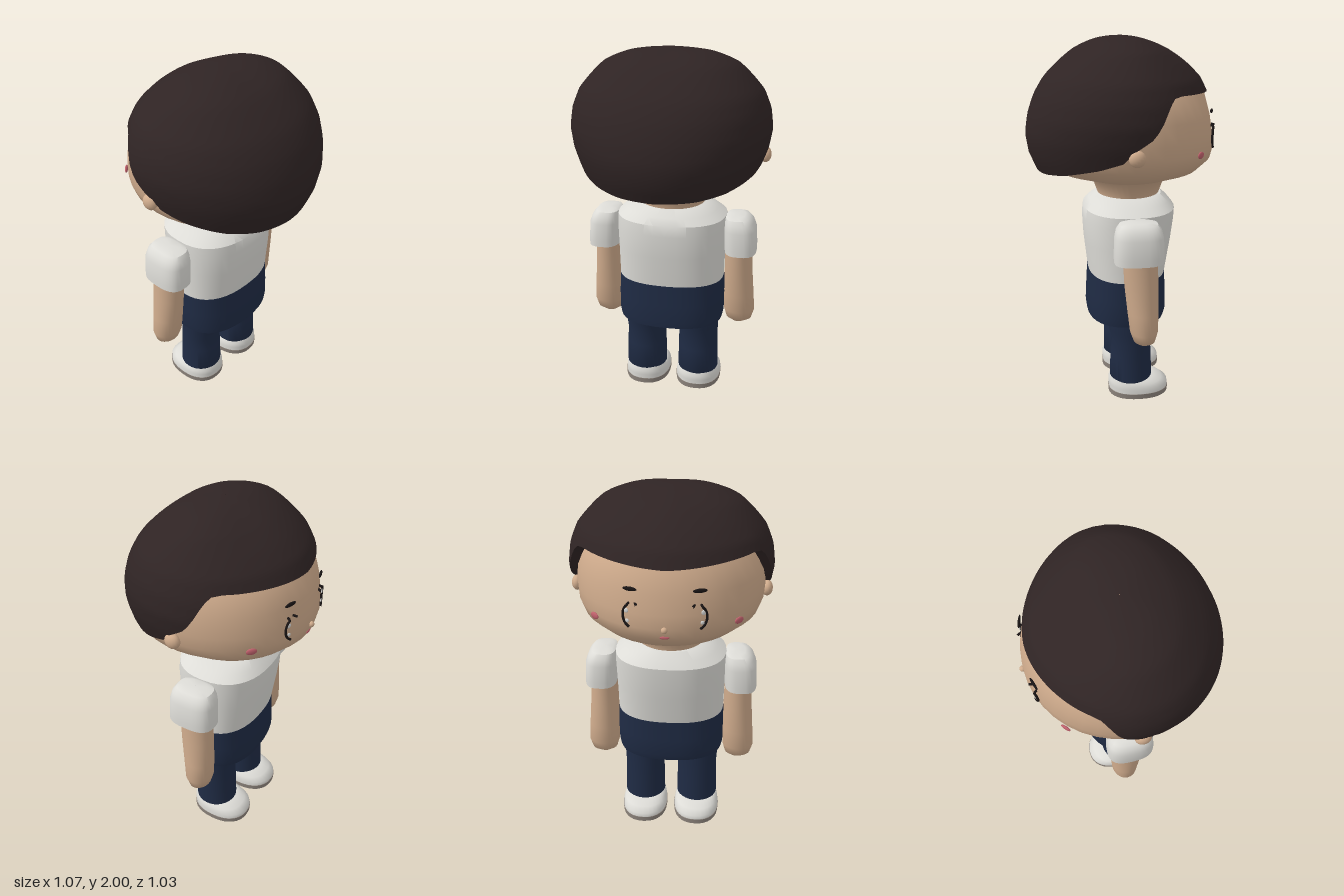
import * as THREE from 'three';
import { toCreasedNormals } from 'three/addons/utils/BufferGeometryUtils.js';

const mat = (name, color, side = THREE.FrontSide) => {
  const m = new THREE.MeshStandardMaterial({ color, side });
  m.name = name;
  return m;
};

// Skin a stack of closed rings, listed from bottom to top
function skinRings(rings, crease = 0.65) {
  const n = rings[0].length, index = [];
  for (let j = 0; j < rings.length - 1; j++)
    for (let i = 0; i < n; i++) {
      const a = j * n + i, b = j * n + (i + 1) % n;
      index.push(a, b, a + n, b, b + n, a + n);
    }
  const g = new THREE.BufferGeometry().setFromPoints(rings.flat());
  g.setIndex(index);
  return toCreasedNormals(g, crease);
}

// Loft rounded sections [y, cx, cz, rx, rz]; a squareness of 2 is an ellipse
function loft(sections, { sides = 32, square = 2, crease = 0.65 } = {}) {
  const pow = v => Math.sign(v) * Math.abs(v) ** (2 / square);
  const first = sections[0], last = sections[sections.length - 1];
  const cap = s => [s[0], s[1], s[2], 0.001, 0.001];
  return skinRings([cap(first), ...sections, cap(last)].map(([y, cx, cz, rx, rz]) =>
    Array.from({ length: sides }, (_, i) => {
      const a = i / sides * Math.PI * 2;
      return new THREE.Vector3(cx + rx * pow(Math.sin(a)), y, cz + rz * pow(Math.cos(a)));
    })), crease);
}

// Piecewise linear lookup in ascending [key, value] pairs
function lookup(table, k) {
  for (let i = 1; i < table.length; i++) {
    const [a, va] = table[i - 1], [b, vb] = table[i];
    if (k <= b) return THREE.MathUtils.lerp(va, vb, Math.max(0, (k - a) / (b - a)));
  }
  return table[table.length - 1][1];
}

// Hair cap: radius by height for back, side and fringe, cut at a shaped hem
function hairGeometry() {
  const heights = [2, 1.98, 1.93, 1.86, 1.79, 1.7, 1.6, 1.5, 1.4, 1.31];
  const profile = radii => radii.map((r, i) => [Math.sqrt(2 - heights[i]), r]);
  const back = profile([0, 0.13, 0.25, 0.34, 0.41, 0.465, 0.5, 0.515, 0.5, 0.46]);
  const side = profile([0, 0.22, 0.35, 0.425, 0.485, 0.522, 0.536, 0.52, 0.485, 0.45]);
  const front = profile([0, 0.13, 0.25, 0.35, 0.42, 0.465, 0.49, 0.5, 0.5, 0.5]);
  const hem = [[0, 1.31], [25, 1.318], [45, 1.34], [70, 1.39], [84, 1.43], [90, 1.49], [100, 1.55],
    [105, 1.62], [110, 1.7], [114, 1.73], [120, 1.737], [140, 1.73], [180, 1.715]];
  const rows = 28, sides = 120, rings = [];
  for (let j = -1; j <= rows; j++) {
    const v = 1 - Math.max(j, 0) / rows, ring = [];
    for (let i = 0; i < sides; i++) {
      const a = i / sides * Math.PI * 2;
      const deg = Math.abs(THREE.MathUtils.radToDeg(Math.atan2(Math.sin(a), Math.cos(a))));
      const q = Math.sqrt(2 - lookup(hem, deg)) * Math.max(v, 0.002);
      const s = Math.sin(a) ** 2, w = Math.cos(a) < 0 ? s * s : s;
      let r = THREE.MathUtils.lerp(lookup(Math.cos(a) < 0 ? front : back, q), lookup(side, q), w);
      if (j < 0) r *= 0.86; // lip turned in towards the head
      ring.push(new THREE.Vector3(r * Math.sin(a), 2 - q * q, r * Math.cos(a)));
    }
    rings.push(ring);
  }
  return skinRings(rings, 0.7);
}

export function createModel() {
  const root = new THREE.Group();
  root.name = 'child';
  const skin = mat('skin', 0xcfab8c), hair = mat('dark hair', 0x2f2424, THREE.DoubleSide);
  const white = mat('white cloth', 0xdddcd7), navy = mat('navy cloth', 0x1f2b44);
  const sole = mat('sole', 0x8d847c), ink = mat('eye line', 0x191414);
  const pink = mat('pink', 0xc0616c), shine = mat('eye shine', 0xd8d8d6);

  const add = (name, geometry, material, parent = root) => {
    const m = new THREE.Mesh(geometry, material);
    m.name = name;
    parent.add(m);
    return m;
  };
  const blob = (name, material, pos, scale, turn = 0, parent = root) => {
    const m = add(name, new THREE.SphereGeometry(1, 16, 12), material, parent);
    m.position.set(...pos);
    m.scale.set(...scale);
    m.rotation.y = turn;
    return m;
  };

  // Head and neck
  add('head', loft([
    [1.1, 0, -0.04, 0.17, 0.17], [1.16, 0, -0.04, 0.18, 0.17], [1.245, 0, -0.04, 0.205, 0.2],
    [1.265, 0, -0.04, 0.27, 0.26], [1.305, 0, -0.03, 0.38, 0.39], [1.37, 0, -0.01, 0.465, 0.475],
    [1.43, 0, 0, 0.49, 0.498], [1.5, 0, 0, 0.495, 0.494], [1.6, 0, 0, 0.49, 0.475],
    [1.72, 0, 0, 0.45, 0.44], [1.8, 0, 0, 0.37, 0.37], [1.88, 0, 0, 0.25, 0.25], [1.92, 0, 0, 0.1, 0.1],
  ], { sides: 40, crease: 1 }), skin);
  add('hair', hairGeometry(), hair);

  // Face, looking towards -z
  blob('nose', skin, [0, 1.43, -0.5], [0.016, 0.016, 0.016]);
  blob('mouth', pink, [0, 1.385, -0.487], [0.024, 0.009, 0.006]);
  const faceZ = (x, y) => -Math.sqrt((y > 1.55 ? 0.478 : 0.5) ** 2 - x * x);
  for (const s of [-1, 1]) {
    const eye = new THREE.Group();
    eye.name = s > 0 ? 'leftEye' : 'rightEye';
    root.add(eye);
    const arc = [];
    for (let i = 0; i <= 12; i++) {
      const t = THREE.MathUtils.lerp(-1.25, 2.1, i / 12);
      const x = s * (0.155 + 0.046 * Math.cos(t)), y = 1.49 + 0.063 * Math.sin(t);
      arc.push(new THREE.Vector3(x, y, faceZ(x, y)));
    }
    add('eyeLine', new THREE.TubeGeometry(new THREE.CatmullRomCurve3(arc), 28, 0.0065, 6), ink, eye);
    for (const [x, y, r] of [[0.185, 1.515, 0.013], [0.18, 1.462, 0.01]])
      blob('eyeShine', shine, [s * x, y, faceZ(x, y)], [r, r, 0.004], s * -0.38, eye);
    blob('eyebrow', ink, [s * 0.165, 1.622, -0.457], [0.036, 0.011, 0.007], s * -0.3);
    blob('cheek', pink, [s * 0.355, 1.43, -0.36], [0.028, 0.018, 0.008], s * -0.75);
    blob('ear', skin, [s * 0.505, 1.455, -0.012], [0.03, 0.042, 0.042]);
  }

  // Shirt and the hips of the trousers
  add('shirt', loft([
    [0.72, 0, -0.025, 0.3, 0.215], [0.9, 0, -0.03, 0.303, 0.24], [1.03, 0, -0.035, 0.307, 0.252],
    [1.09, 0, -0.04, 0.305, 0.25], [1.125, 0, -0.042, 0.255, 0.22], [1.162, 0, -0.045, 0.185, 0.175],
  ], { sides: 40, square: 2.4 }), white);
  add('hips', loft([
    [0.462, 0, -0.02, 0.298, 0.218], [0.5, 0, -0.023, 0.305, 0.226],
    [0.6, 0, -0.024, 0.306, 0.222], [0.722, 0, -0.025, 0.301, 0.216],
  ], { sides: 40, square: 2.4 }), navy);

  // Arms, legs and shoes on both sides
  for (const s of [-1, 1]) {
    const pair = (name, sections, material, options) =>
      add((s > 0 ? 'left' : 'right') + name,
        loft(sections.map(([y, x, ...rest]) => [y, s * x, ...rest]), options), material);
    pair('Sleeve', [
      [0.885, 0.392, -0.042, 0.089, 0.13], [0.92, 0.391, -0.042, 0.09, 0.131],
      [1.02, 0.385, -0.042, 0.089, 0.127], [1.06, 0.378, -0.042, 0.08, 0.118],
      [1.085, 0.37, -0.042, 0.066, 0.1], [1.094, 0.365, -0.042, 0.045, 0.06],
    ], white, { square: 2.8 });
    pair('Arm', [
      [0.412, 0.39, -0.073, 0.035, 0.032], [0.435, 0.393, -0.073, 0.073, 0.058],
      [0.49, 0.393, -0.071, 0.089, 0.075], [0.6, 0.388, -0.066, 0.086, 0.083],
      [0.75, 0.382, -0.057, 0.08, 0.09], [0.92, 0.378, -0.05, 0.075, 0.092],
    ], skin, { crease: 1 });
    pair('Leg', [
      [0.085, 0.158, -0.035, 0.108, 0.11], [0.1, 0.158, -0.036, 0.12, 0.12],
      [0.25, 0.157, -0.035, 0.117, 0.116], [0.33, 0.157, -0.037, 0.115, 0.108],
      [0.4, 0.156, -0.028, 0.12, 0.117], [0.52, 0.155, -0.022, 0.124, 0.118],
    ], navy);
    pair('Sole', [[0, 0.157, -0.078, 0.134, 0.172], [0.03, 0.157, -0.078, 0.136, 0.173]], sole, { square: 2.3 });
    pair('Shoe', [
      [0.03, 0.157, -0.078, 0.133, 0.17], [0.055, 0.157, -0.077, 0.132, 0.17],
      [0.08, 0.157, -0.06, 0.125, 0.153], [0.102, 0.157, -0.038, 0.108, 0.12],
    ], white, { square: 2.3, crease: 1 });
  }
  return root;
}
